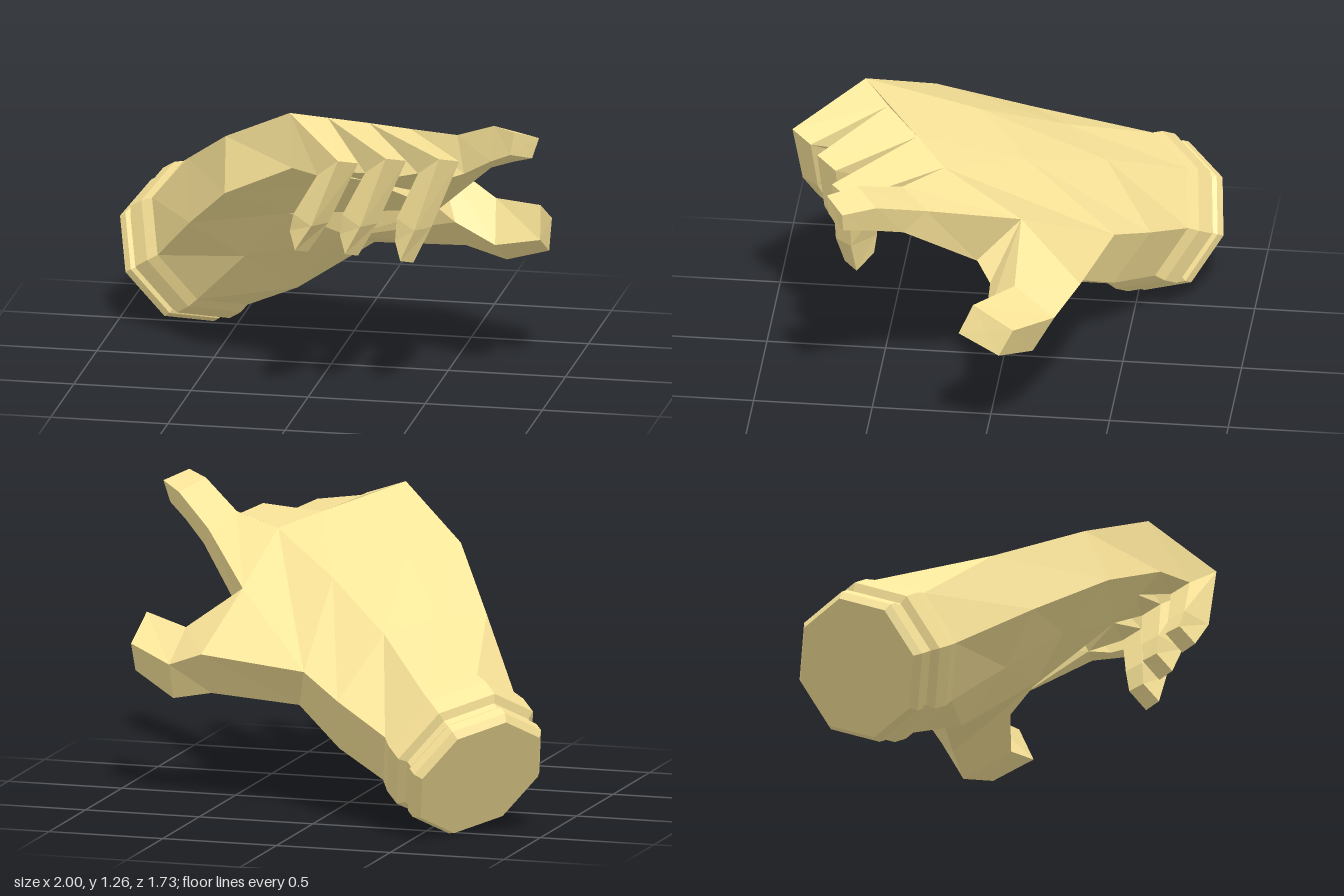
import * as THREE from 'three';

const V = (x, y, z) => new THREE.Vector3(x, y, z);
const material = new THREE.MeshStandardMaterial({ color: 0xfce69a, flatShading: true });

// Skins a list of equal-sized rings (counter-clockwise about the direction of travel) and caps both ends
function loft(name, rings) {
  const pos = [];
  const tri = (...pts) => pts.forEach((p) => pos.push(p.x, p.y, p.z));
  const n = rings[0].length;
  const centre = (ring) => ring.reduce((sum, p) => sum.add(p), V(0, 0, 0)).divideScalar(n);
  for (let j = 0; j < rings.length - 1; j++) {
    for (let i = 0; i < n; i++) {
      const k = (i + 1) % n;
      tri(rings[j][i], rings[j][k], rings[j + 1][k]);
      tri(rings[j][i], rings[j + 1][k], rings[j + 1][i]);
    }
  }
  const first = rings[0], last = rings[rings.length - 1];
  const c0 = centre(first), c1 = centre(last);
  for (let i = 0; i < n; i++) {
    const k = (i + 1) % n;
    tri(c0, first[k], first[i]);
    tri(c1, last[i], last[k]);
  }
  const geometry = new THREE.BufferGeometry();
  geometry.setAttribute('position', new THREE.Float32BufferAttribute(pos, 3));
  geometry.computeVertexNormals();
  const mesh = new THREE.Mesh(geometry, material);
  mesh.name = name;
  return mesh;
}

// Forearm frame: along the arm, towards the thumb, out of the back of the hand
const along = V(0.67, 0.5, 0.54).normalize();
const side = V(0.72, -0.24, -0.65).normalize();
const up = along.clone().cross(side).normalize();
const wristEnd = V(-0.773, 0.265, -0.617);

function octagon(t, r) {
  return Array.from({ length: 8 }, (_, i) => {
    const a = Math.PI / 8 + (i * Math.PI) / 4;
    return wristEnd.clone().addScaledVector(along, t)
      .addScaledVector(side, r * Math.cos(a)).addScaledVector(up, r * Math.sin(a));
  });
}

export function createModel() {
  const hand = new THREE.Group();
  hand.name = 'pointingHand';

  // Grooved cuff
  const profile = [[0, 0.3], [0.03, 0.325], [0.07, 0.325], [0.085, 0.31], [0.115, 0.31],
    [0.135, 0.345], [0.22, 0.345], [0.28, 0.33]];
  hand.add(loft('cuff', profile.map(([t, r]) => octagon(t, r))));

  // Corners shared by the palm, thumb and index finger
  const web = V(0.43, 0.91, -0.12);
  const webFront = V(0.53, 0.65, 0);
  const thumbBack = V(0.05, 0.64, -0.47);
  const thumbFront = V(0.1, 0.6, 0.12);
  const thumbBelow = V(0.13, 0.46, -0.28);

  // Knuckle line, upper and lower corners between neighbouring fingers
  const knuckles = [
    [V(-0.06, 1.265, 0.59), V(-0.04, 1.04, 0.64)],
    [V(0.08, 1.22, 0.48), V(0.1, 1.0, 0.54)],
    [V(0.23, 1.165, 0.34), V(0.25, 0.94, 0.44)],
    [V(0.38, 1.11, 0.21), V(0.4, 0.88, 0.33)],
    [web, V(0.47, 0.72, 0.06)],
  ];
  const knuckleRing = (i) => [knuckles[i + 1][0], knuckles[i][0], knuckles[i][1], knuckles[i + 1][1]];

  // Palm and back of the hand, from wrist to knuckles
  hand.add(loft('palm', [
    octagon(0.278, 0.33),
    [V(-0.14, 0.55, -0.6), V(-0.28, 0.81, -0.4), V(-0.47, 0.86, -0.21), V(-0.62, 0.85, -0.05),
      V(-0.58, 0.62, 0.12), V(-0.37, 0.45, 0.0), V(-0.18, 0.27, -0.19), V(-0.1, 0.32, -0.45)],
    [thumbBack, V(0.04, 0.975, -0.1), V(-0.21, 1.06, 0.12), V(-0.385, 1.07, 0.33),
      V(-0.37, 0.85, 0.43), V(-0.13, 0.72, 0.235), thumbFront, thumbBelow],
    [web, knuckles[3][0], knuckles[2][0], knuckles[0][0],
      knuckles[0][1], knuckles[2][1], knuckles[4][1], webFront],
  ]));

  // Thumb
  hand.add(loft('thumb', [
    [thumbBack, web, thumbFront, thumbBelow],
    [V(0.53, 0.67, -0.38), web, webFront, V(0.53, 0.48, -0.24)],
    [V(0.7, 0.6, -0.29), V(0.68, 0.73, -0.12), V(0.7, 0.56, 0), V(0.71, 0.44, -0.2)],
    [V(0.915, 0.65, -0.14), V(0.9, 0.755, 0.03), V(0.91, 0.62, 0.09), V(0.915, 0.525, -0.08)],
  ]));

  // Three curled fingers share one hooked shape, drawn together towards the tips
  const hook = [
    [V(0.27, 1.12, 0.785), V(0.2, 1.15, 0.87), V(0.09, 1.05, 0.76), V(0.16, 1.03, 0.68)],
    [V(0.14, 0.85, 0.77), V(0.08, 0.85, 0.84), V(-0.015, 0.87, 0.74), V(0.05, 0.86, 0.67)],
    [V(0.045, 0.705, 0.73), V(0, 0.725, 0.785), V(-0.035, 0.79, 0.72), V(0.015, 0.78, 0.66)],
  ];
  const offsets = [V(0, 0, 0), V(0.18, -0.015, -0.125), V(0.39, -0.03, -0.21)];
  const drift = V(0.007, -0.01, 0.0125);
  ['littleFinger', 'ringFinger', 'middleFinger'].forEach((name, i) => {
    const curled = hook.map((ring, r) =>
      ring.map((p) => p.clone().add(offsets[i]).addScaledVector(drift, i * r)));
    hand.add(loft(name, [knuckleRing(i), ...curled]));
  });

  // Outstretched index finger, its side running straight into the thumb web
  hand.add(loft('indexFinger', [
    knuckleRing(3),
    [V(0.7, 1.08, 0.25), V(0.61, 1.14, 0.36), V(0.65, 0.99, 0.42), V(0.75, 1.0, 0.34)],
    [V(0.89, 1.19, 0.44), V(0.8, 1.24, 0.53), V(0.79, 1.09, 0.55), V(0.87, 1.07, 0.47)],
    [V(1.0, 1.21, 0.57), V(0.91, 1.25, 0.645), V(0.89, 1.15, 0.64), V(0.97, 1.12, 0.57)],
  ]));

  return hand;
}
